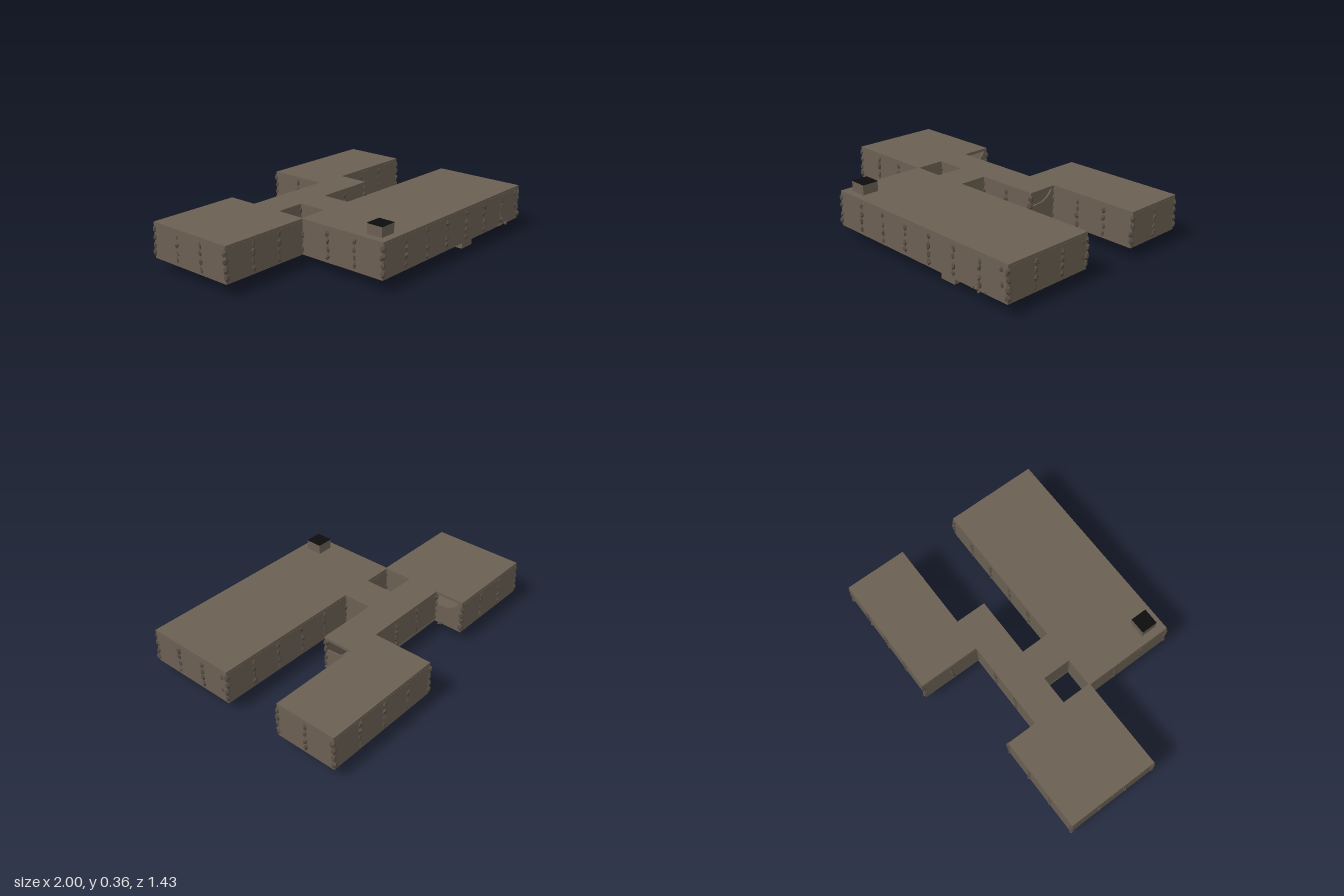
import * as THREE from 'three';

const S = 0.197;                       // grid cell
const gx = i => i * S;
const gz = j => -0.111 + j * 0.1965;
const FLOOR = 0.072, ROOF = 0.292;

// rooms as cell ranges: i0, i1, j0, j1
const ROOMS = {
  westRoom: [-5, -2, -2, 1],
  corridor: [-2, 2, -1, 0],
  passage: [-1, 0, 0, 1],
  backRoom: [1, 5, -3, -1],
  frontRoom: [-2, 5, 1, 4],
};
const inside = (i, j) => Object.values(ROOMS).some(([a, b, c, d]) => i >= a && i < b && j >= c && j < d);

let seed = 7;
const rnd = () => (seed = (seed * 16807) % 2147483647) / 2147483647;
const vary = a => (rnd() - 0.5) * 2 * a;

export function createModel() {
  const group = new THREE.Group();
  const mat = (name, color) => {
    const m = new THREE.MeshStandardMaterial({ color, flatShading: true });
    m.name = name;
    return m;
  };
  const plaster = mat('brown stone', 0x6a5f52);
  const rock = mat('rough rock', 0x564d43);
  const wood = mat('wood', 0x8a4a26);
  const black = mat('black opening', 0x0c0c0c);

  const add = (name, geo, m, x = 0, y = 0, z = 0, parent = group) => {
    const mesh = new THREE.Mesh(geo, m);
    mesh.name = name;
    mesh.position.set(x, y, z);
    parent.add(mesh);
    return mesh;
  };
  const box = (name, w, h, d, m, x, y, z, parent) =>
    add(name, new THREE.BoxGeometry(w, h, d), m, x, y, z, parent);

  // floor and roof slabs, with openings cut per cell
  const rect = (P, x0, x1, z0, z1) => {
    const p = new P();
    p.moveTo(x0, z0); p.lineTo(x1, z0); p.lineTo(x1, z1); p.lineTo(x0, z1); p.closePath();
    return p;
  };
  const slab = (name, [a, b, c, d], top, h, grow, holes = []) => {
    const s = rect(THREE.Shape, gx(a) - grow, gx(b) + grow, gz(c) - grow, gz(d) + grow);
    for (const [i, j] of holes)
      s.holes.push(rect(THREE.Path, gx(i) + 0.004, gx(i + 1) - 0.004, gz(j) + 0.004, gz(j + 1) - 0.004));
    const geo = new THREE.ExtrudeGeometry(s, { depth: h, bevelEnabled: false });
    geo.rotateX(Math.PI / 2);
    add(name, geo, plaster, 0, top, 0);
  };
  for (const [name, r] of Object.entries(ROOMS)) {
    const grow = name === 'corridor' || name === 'passage' ? 0.007 : 0.004;
    slab(name + 'Floor', r, FLOOR + 0.012, 0.012, grow, name === 'frontRoom' ? [[0, 1], [2, 2]] : []);
    slab(name + 'Roof', r, ROOF, 0.018, grow);
  }

  // irregular stones
  const stoneGeo = new THREE.DodecahedronGeometry(1, 0);
  const stone = (name, x, y, z, sx, sy, sz, parent) => {
    const m = add(name, stoneGeo, rock, x, y, z, parent);
    m.scale.set(sx, sy, sz);
    m.rotation.set(vary(0.4), vary(1.5), vary(0.35));
  };
  const posts = new Set();
  const post = (i, j) => {
    const key = i + ',' + j;
    if (posts.has(key)) return;
    posts.add(key);
    const g = new THREE.Group();
    g.name = 'stonePost';
    group.add(g);
    for (let k = 0; k < 4; k++)
      stone('postStone', gx(i) + vary(0.003), 0.106 + k * 0.047 + vary(0.004), gz(j) + vary(0.003),
        0.015 + vary(0.003), 0.025 + vary(0.003), 0.015 + vary(0.003), g);
  };

  // wall panels along every outer cell edge; two are broken open
  const H = 0.196, T = 0.01, W = S + 0.004;
  const brokenPanel = () => {
    const s = new THREE.Shape();
    s.moveTo(-W / 2, 0);
    s.lineTo(W / 2, 0);
    s.lineTo(W / 2, H);
    s.lineTo(W / 2 - 0.02, H);
    s.quadraticCurveTo(0.06, 0.15, 0, 0.128);
    s.lineTo(-W / 2, 0.12);
    s.closePath();
    const geo = new THREE.ExtrudeGeometry(s, { depth: T, bevelEnabled: false });
    return geo.translate(0, -H / 2, -T / 2);
  };
  const wall = (i0, j0, i1, j1) => {
    const along = i0 !== i1;
    const broken = !along && ((i0 === 2 && j0 === -1) || (i0 === -2 && j0 === -2));
    const geo = broken ? brokenPanel() : new THREE.BoxGeometry(W, H, T);
    const m = add(broken ? 'brokenWall' : 'wall', geo, plaster,
      (gx(i0) + gx(i1)) / 2, 0.18, (gz(j0) + gz(j1)) / 2);
    if (!along) m.rotation.y = Math.PI / 2;
    post(i0, j0);
    post(i1, j1);
  };
  for (let i = -5; i < 5; i++) for (let j = -3; j < 4; j++) {
    if (!inside(i, j)) continue;
    if (!inside(i, j - 1)) wall(i, j, i + 1, j);
    if (!inside(i, j + 1)) wall(i, j + 1, i + 1, j + 1);
    if (!inside(i - 1, j)) wall(i, j, i, j + 1);
    if (!inside(i + 1, j)) wall(i + 1, j, i + 1, j + 1);
  }

  // square shafts with black ends: one through the roof, three below the floor
  const shaft = (i, j, up) => {
    const x = gx(i + 0.5), z = gz(j + 0.5), h = up ? 0.063 : 0.07;
    const y = up ? ROOF + h / 2 - 0.002 : 0.003 + h / 2;
    box('shaft', 0.106, h, 0.106, plaster, x, y, z);
    box('shaftOpening', 0.106, 0.003, 0.106, black, x, up ? 0.3545 : 0.0015, z);
  };
  shaft(-2, 3, true);
  shaft(-4, -1, false);
  shaft(2, -3, false);
  shaft(2, 3, false);

  // sunken stairwell and the wooden steps leading into it
  box('stairPit', 0.194, 0.074, 0.194, plaster, gx(0.5), 0.037, gz(2.5));
  for (let k = 0; k < 7; k++)
    box('pitStep', 0.18, 0.012, 0.034, wood, gx(0.5), 0.15 - k * 0.011, gz(1) + 0.022 + k * 0.026);

  // wooden stair rising above the open floor hatch
  for (let k = 0; k < 6; k++)
    box('hatchStep', 0.03, 0.01, 0.08, wood, gx(2) + 0.025 + k * 0.03, 0.1 + k * 0.027, gz(3) - 0.05);
  for (const dz of [0.008, 0.092]) {
    const m = box('hatchStringer', 0.235, 0.016, 0.008, wood, gx(2.5), 0.16, gz(3) - dz);
    m.rotation.z = 0.72;
  }

  // nested wooden door frames deep in the corridor
  for (let k = 0; k < 3; k++) {
    const x = gx(-2) + 0.02 + k * 0.02, w = 0.18 - k * 0.04, top = 0.268 - k * 0.02;
    box('doorLintel', 0.015, 0.011, w, wood, x, top, gz(-0.5));
    for (const s of [-1, 1])
      box('doorJamb', 0.015, top - 0.084, 0.011, wood, x, (top + 0.084) / 2, gz(-0.5) + s * (w / 2 - 0.005));
  }

  // fallen pebbles and loose stones set in the walls
  const pebbles = [[0.75, 0.692], [0.78, 0.688], [0.81, 0.705], [0.84, 0.69], [0.415, -0.165], [0.405, -0.15], [-0.365, -0.36], [-0.375, -0.37]];
  for (const [x, z] of pebbles) stone('pebble', x, 0.086, z, 0.011, 0.006, 0.009);
  for (const y of [0.165, 0.25]) {
    stone('looseStone', 0.947, y, 0.675, 0.018, 0.022, 0.01);
    stone('looseStone', 0.983, y - 0.01, 0.118, 0.01, 0.022, 0.018);
  }
  return group;
}
